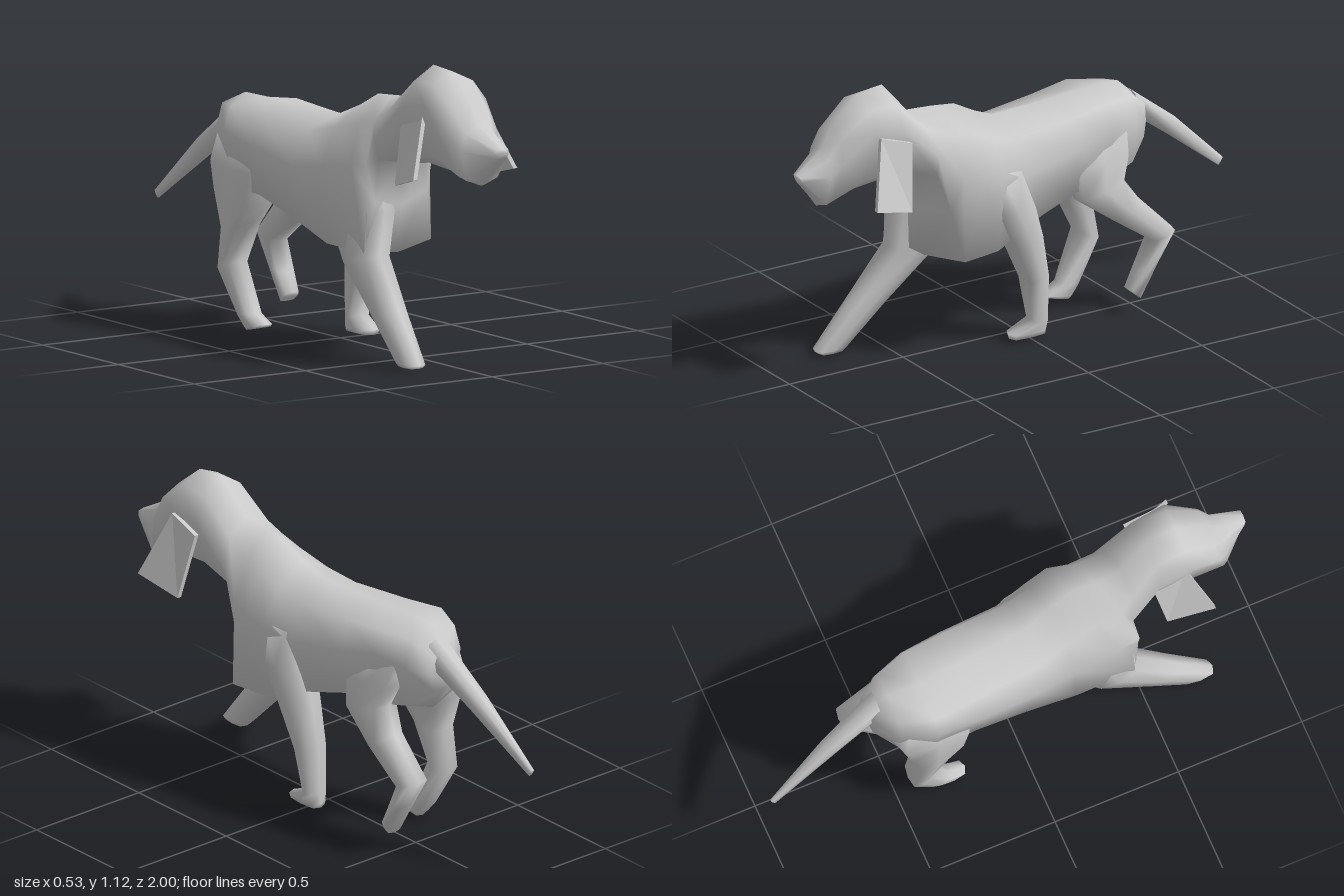
import * as THREE from 'three';

const material = new THREE.MeshStandardMaterial({ color: 0xcccccc });

// Skin a closed tube over rings of [x0, x1, yA, zA, yB, zB, waist, boxA, boxB, skew].
// A and B are the two ends of a ring on its centre line; waist is where between
// B and A the ring is widest; boxA and boxB push the diagonal corners of each
// half outwards; skew shifts the ring along z in proportion to x.
function loft(name, rings, sides = 8) {
  const positions = [], index = [];
  for (const [x0, x1, yA, zA, yB, zB, waist = 0.5, boxA = 0.82, boxB = boxA, skew = 0] of rings) {
    const xc = (x0 + x1) / 2, w = (x1 - x0) / 2;
    for (let k = 0; k < sides; k++) {
      const a = (k / sides) * Math.PI * 2;
      const scale = k % 2 ? (k < sides / 2 ? boxA : boxB) / Math.SQRT1_2 : 1;
      const s = Math.sin(a) * scale, dx = Math.cos(a) * scale * w;
      const t = waist + s * (s > 0 ? 1 - waist : waist);
      positions.push(xc + dx, yB + (yA - yB) * t, zB + (zA - zB) * t + skew * dx);
    }
  }
  for (let r = 0; r < rings.length - 1; r++) {
    for (let k = 0; k < sides; k++) {
      const a = r * sides + k, b = r * sides + (k + 1) % sides;
      index.push(a, b, b + sides, a, b + sides, a + sides);
    }
  }
  // End caps
  const last = (rings.length - 1) * sides;
  for (let k = 1; k < sides - 1; k++) {
    index.push(0, k + 1, k, last, last + k, last + k + 1);
  }
  const geometry = new THREE.BufferGeometry();
  geometry.setAttribute('position', new THREE.Float32BufferAttribute(positions, 3));
  geometry.setIndex(index);
  geometry.computeVertexNormals();
  const mesh = new THREE.Mesh(geometry, material);
  mesh.name = name;
  return mesh;
}

// Hanging ear: a thin four-cornered flap, mirrored about the middle of the head
function ear(name, side) {
  const middle = 0.03, thickness = 0.018;
  const corners = [[0.165, 0.975, 0.70], [0.17, 0.93, 0.565], [0.225, 0.68, 0.60], [0.265, 0.73, 0.78]];
  const positions = [];
  for (const inset of [0, thickness]) {
    for (const [x, y, z] of corners) {
      positions.push(middle + side * (x - inset - middle), y, z);
    }
  }
  const index = [0, 2, 1, 0, 3, 2, 4, 5, 6, 4, 6, 7];
  for (let k = 0; k < 4; k++) {
    const n = (k + 1) % 4;
    index.push(k, n, n + 4, k, n + 4, k + 4);
  }
  if (side < 0) index.reverse();
  let geometry = new THREE.BufferGeometry();
  geometry.setAttribute('position', new THREE.Float32BufferAttribute(positions, 3));
  geometry.setIndex(index);
  geometry = geometry.toNonIndexed();
  geometry.computeVertexNormals();
  const mesh = new THREE.Mesh(geometry, material);
  mesh.name = name;
  return mesh;
}

export function createModel() {
  const group = new THREE.Group();
  group.name = 'dog';

  group.add(
    // Rump, trunk, chest, neck and head in one skin, from back to front
    loft('bodyAndHead', [
      [-0.13, -0.01, 0.79, -0.58, 0.63, -0.575],
      [-0.22, 0.05, 0.865, -0.50, 0.53, -0.50, 0.6, 0.78],
      [-0.27, 0.09, 0.865, -0.37, 0.50, -0.37, 0.7, 0.82, 0.84],
      [-0.26, 0.12, 0.865, -0.20, 0.50, -0.20, 0.6, 0.76, 0.84],
      [-0.24, 0.145, 0.865, 0.07, 0.45, 0.00, 0.55, 0.72, 0.88],
      [-0.225, 0.175, 0.91, 0.17, 0.385, 0.20, 0.6, 0.66, 0.92, -0.1],
      [-0.215, 0.19, 0.965, 0.27, 0.385, 0.40, 0.6, 0.62, 0.94, -0.3],
      [-0.205, 0.17, 0.975, 0.37, 0.57, 0.43, 0.42, 0.66, 0.82, -0.35],
      [-0.165, 0.14, 0.985, 0.48, 0.72, 0.42, 0.45, 0.68, 0.76, -0.1],
      [-0.13, 0.15, 1.12, 0.60, 0.745, 0.57, 0.6, 0.63, 0.74],
      [-0.12, 0.16, 1.11, 0.71, 0.73, 0.76, 0.7, 0.63, 0.74],
      [-0.09, 0.13, 1.01, 0.83, 0.705, 0.88, 0.6, 0.68, 0.78],
      [-0.06, 0.11, 0.93, 0.875, 0.705, 0.90, 0.6, 0.7, 0.82],
      [0.02, 0.08, 0.855, 1.00, 0.815, 0.985],
    ]),
    // Tail, from tip to root
    loft('tail', [
      [-0.155, -0.14, 0.43, -1.00, 0.40, -0.98],
      [-0.135, -0.07, 0.66, -0.76, 0.59, -0.735],
      [-0.12, -0.02, 0.83, -0.54, 0.72, -0.56],
    ]),
    // Legs, from top to paw, blending out of the body
    loft('rightFrontLeg', [
      [-0.18, -0.06, 0.70, 0.42, 0.66, 0.15],
      [-0.205, -0.05, 0.56, 0.48, 0.50, 0.18],
      [-0.215, -0.08, 0.39, 0.475, 0.35, 0.30],
      [-0.215, -0.11, 0.20, 0.63, 0.18, 0.49],
      [-0.21, -0.135, 0.025, 0.78, 0.025, 0.65],
      [-0.205, -0.14, 0.012, 0.765, 0.012, 0.665],
    ]),
    loft('leftFrontLeg', [
      [0.02, 0.165, 0.74, 0.30, 0.70, 0.05],
      [0.03, 0.178, 0.56, 0.20, 0.55, 0.00],
      [0.04, 0.17, 0.39, 0.105, 0.43, -0.03],
      [0.045, 0.155, 0.24, 0.035, 0.26, -0.06],
      [0.05, 0.14, 0.075, 0.00, 0.07, -0.06],
      [0.05, 0.13, 0.035, 0.095, 0.03, -0.065],
      [0.055, 0.125, 0.015, 0.09, 0.015, -0.065],
    ]),
    loft('leftHindLeg', [
      [-0.05, 0.06, 0.76, -0.18, 0.76, -0.48],
      [-0.02, 0.105, 0.62, -0.19, 0.64, -0.46],
      [0.00, 0.125, 0.50, -0.215, 0.55, -0.42],
      [0.03, 0.14, 0.39, -0.37, 0.46, -0.48],
      [0.035, 0.14, 0.28, -0.53, 0.315, -0.625],
      [0.04, 0.13, 0.17, -0.475, 0.19, -0.55],
      [0.05, 0.12, 0.10, -0.435, 0.06, -0.48],
    ]),
    loft('rightHindLeg', [
      [-0.24, -0.09, 0.74, -0.20, 0.74, -0.50],
      [-0.265, -0.09, 0.60, -0.21, 0.63, -0.52],
      [-0.265, -0.11, 0.48, -0.24, 0.53, -0.49],
      [-0.26, -0.13, 0.40, -0.31, 0.38, -0.435],
      [-0.25, -0.14, 0.25, -0.385, 0.22, -0.465],
      [-0.22, -0.14, 0.065, -0.295, 0.055, -0.375],
      [-0.21, -0.14, 0.035, -0.225, 0.01, -0.345],
      [-0.205, -0.145, 0.025, -0.23, 0, -0.335],
    ]),
    ear('leftEar', 1),
    ear('rightEar', -1),
  );
  return group;
}
